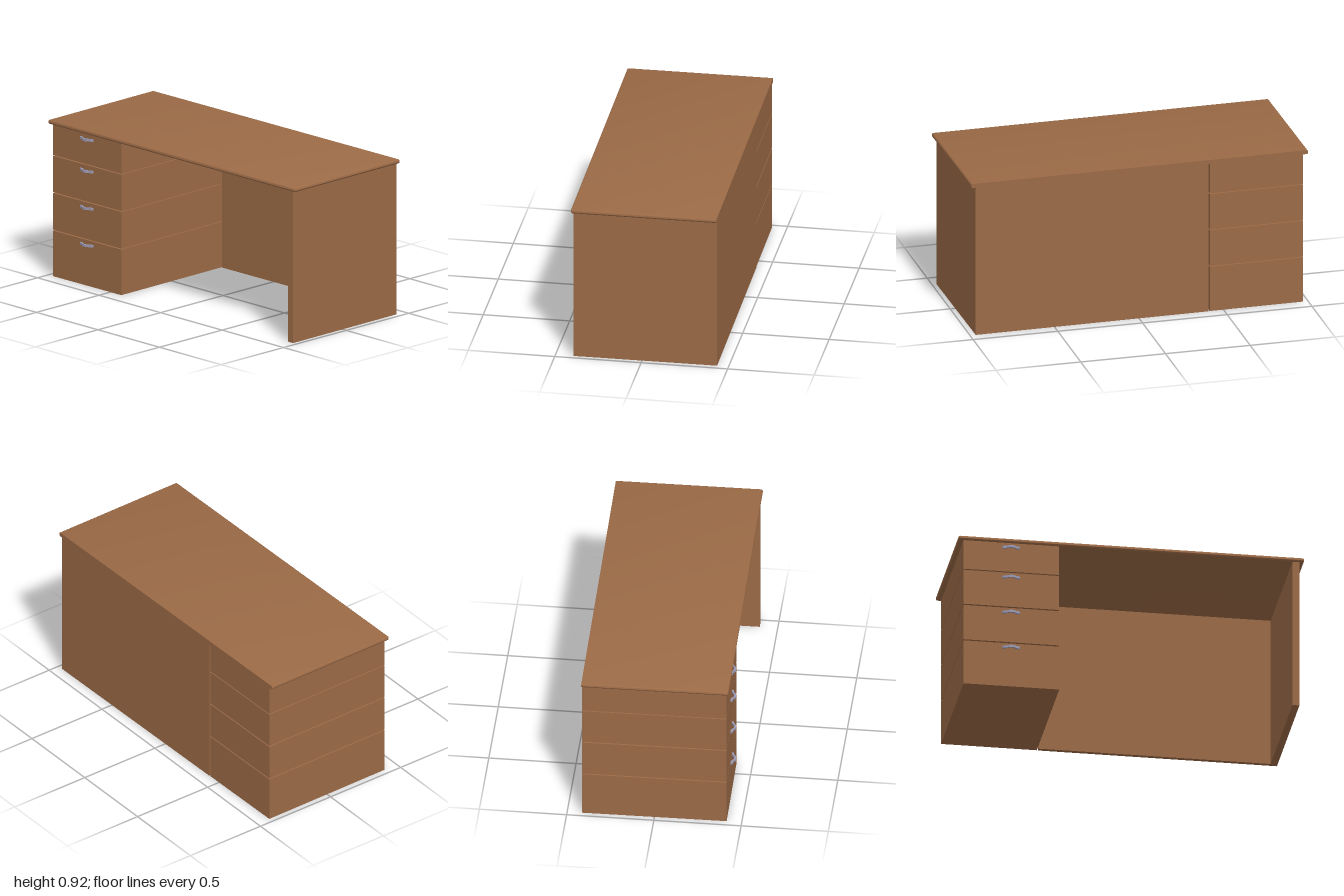
import * as THREE from 'three';
import { toCreasedNormals } from 'three/addons/utils/BufferGeometryUtils.js';
import { RoundedBoxGeometry } from 'three/addons/geometries/RoundedBoxGeometry.js';

const wood = new THREE.MeshStandardMaterial({ color: 0x9b6a46 });
const metal = new THREE.MeshStandardMaterial({ color: 0x9c9ab4 });

// Box given by its two opposite corners
function panel(name, [x0, y0, z0], [x1, y1, z1]) {
  const mesh = new THREE.Mesh(new THREE.BoxGeometry(x1 - x0, y1 - y0, z1 - z0), wood);
  mesh.position.set((x0 + x1) / 2, (y0 + y1) / 2, (z0 + z1) / 2);
  mesh.name = name;
  return mesh;
}

// Desk top: rounded on three sides, cut square along the modesty panel
function makeTop() {
  const geo = new RoundedBoxGeometry(0.88, 0.024, 1.993, 4, 0.01);
  geo.translate(-0.417 + 0.44, 0.912, 0);
  const p = geo.attributes.position;
  for (let i = 0; i < p.count; i++) p.setX(i, Math.min(p.getX(i), 0.425));
  const mesh = new THREE.Mesh(toCreasedNormals(geo, 0.7), wood);
  mesh.name = 'deskTop';
  return mesh;
}

// Bow-shaped pull: shape in plan (u along the drawer, v outward), extruded upward
function handleGeometry() {
  const outer = [[-0.052, 0], [-0.046, 0.011], [-0.03, 0.013], [-0.012, 0.026], [0.012, 0.026], [0.03, 0.013], [0.046, 0.011], [0.052, 0]];
  const inner = [[0.036, 0], [0.026, 0.005], [0.01, 0.016], [-0.01, 0.016], [-0.026, 0.005], [-0.036, 0]];
  const shape = new THREE.Shape([...outer, ...inner].map(([u, v]) => new THREE.Vector2(u, v)));
  const geo = new THREE.ExtrudeGeometry(shape, { depth: 0.014, bevelEnabled: false });
  geo.translate(0, 0, -0.007);
  geo.rotateX(-Math.PI / 2);
  geo.rotateY(Math.PI / 2);
  return toCreasedNormals(geo, 0.6);
}

export function createModel() {
  const desk = new THREE.Group();
  desk.name = 'desk';
  desk.add(
    makeTop(),
    panel('sidePanel', [-0.405, 0, 0.93], [0.425, 0.9, 0.97]),
    panel('modestyPanel', [0.4, 0, -0.408], [0.425, 0.9, 0.93]),
    // Recessed carcass that closes the gaps between the drawers
    panel('drawerCarcass', [-0.39, 0.01, -0.955], [0.41, 0.9, -0.425])
  );

  // Drawer stack: bottom, top and handle heights
  const drawers = [[0, 0.27, 0.243], [0.277, 0.493, 0.463], [0.5, 0.714, 0.683], [0.72, 0.9, 0.87]];
  const pull = handleGeometry();
  for (const [bottom, top, handleY] of drawers) {
    const drawer = new THREE.Group();
    drawer.name = 'drawer';
    const handle = new THREE.Mesh(pull, metal);
    handle.name = 'drawerHandle';
    handle.position.set(-0.405, handleY, -0.692);
    drawer.add(panel('drawerBox', [-0.405, bottom, -0.967], [0.423, top, -0.415]), handle);
    desk.add(drawer);
  }

  // The whole desk stands very slightly turned
  desk.rotation.y = 0.0085;
  const model = new THREE.Group();
  model.add(desk);
  return model;
}
